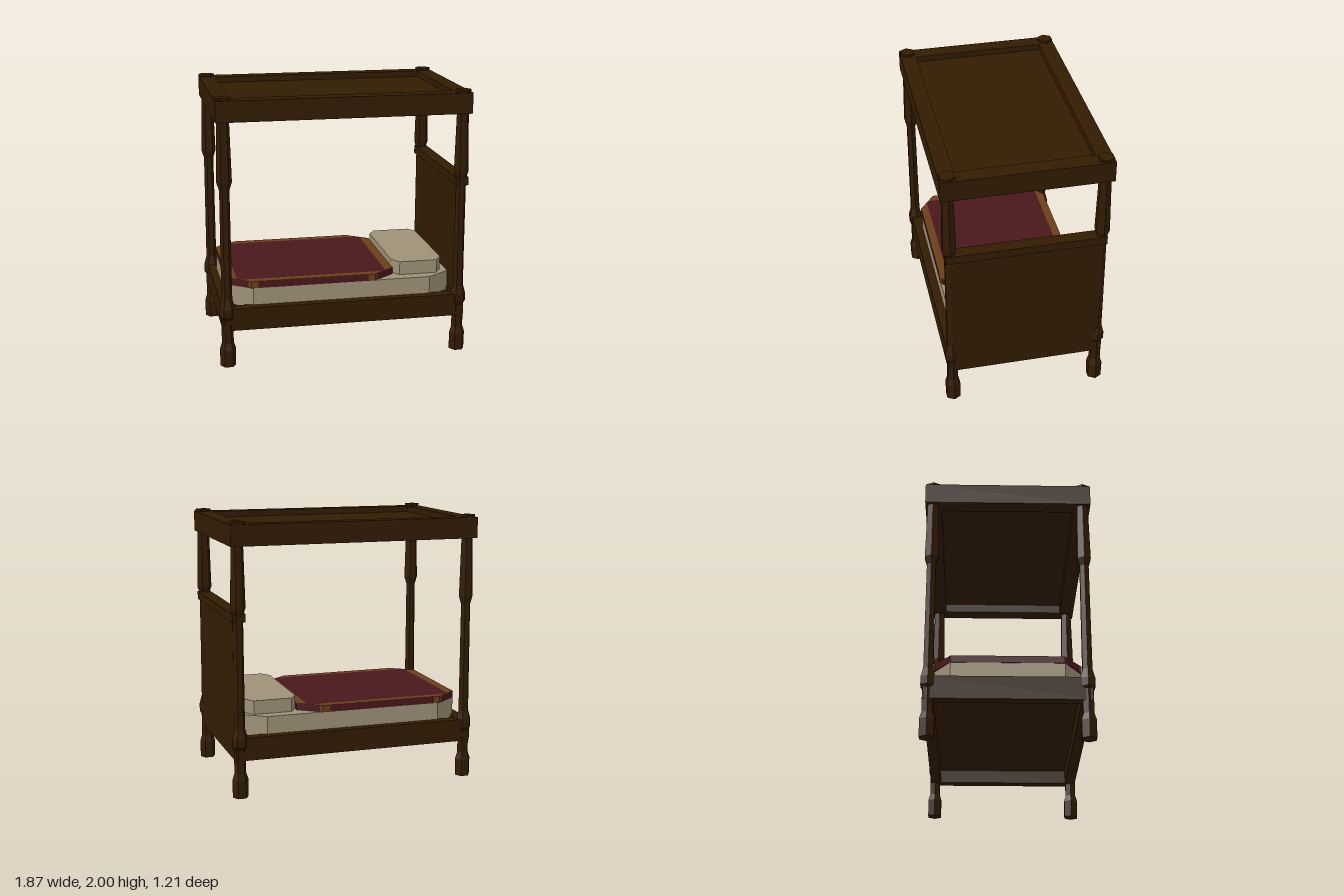
import * as THREE from 'three';

const mat = (name, color) => {
  const m = new THREE.MeshStandardMaterial({ color, flatShading: true });
  m.name = name;
  return m;
};

export function createModel() {
  const wood = mat('dark wood', 0x321b02);
  const linen = mat('linen', 0x9e9177);
  const red = mat('red cloth', 0x49171b);
  const gold = mat('gold trim', 0x6c3e1a);

  const model = new THREE.Group();
  model.name = 'canopyBed';

  const add = (name, geometry, material) => {
    const mesh = new THREE.Mesh(geometry, material);
    mesh.name = name;
    model.add(mesh);
    return mesh;
  };

  // Box given by its limits on each axis
  const box = (name, x0, x1, y0, y1, z0, z1) => {
    const g = new THREE.BoxGeometry(x1 - x0, y1 - y0, z1 - z0);
    g.translate((x0 + x1) / 2, (y0 + y1) / 2, (z0 + z1) / 2);
    return add(name, g, wood);
  };

  // Upright slab from an outline of [x, z] points
  const toShape = (pts) => new THREE.Shape(pts.map(([x, z]) => new THREE.Vector2(x, -z)));
  const toHole = (pts) => new THREE.Path(pts.slice().reverse().map(([x, z]) => new THREE.Vector2(x, -z)));
  const slab = (name, shape, y0, y1, material) => {
    const g = new THREE.ExtrudeGeometry(shape, { depth: y1 - y0, bevelEnabled: false });
    g.rotateX(-Math.PI / 2);
    g.translate(0, y0, 0);
    return add(name, g, material);
  };

  // Rectangle with cut corners
  const octagon = (x0, x1, hz, cx, cz) => [
    [x0 + cx, hz], [x1 - cx, hz], [x1, hz - cz], [x1, cz - hz],
    [x1 - cx, -hz], [x0 + cx, -hz], [x0, cz - hz], [x0, hz - cz],
  ];

  // Rectangular frame
  const rect = (x, z) => [[-x, z], [x, z], [x, -z], [-x, -z]];
  const frame = (name, x, z, ix, iz, y0, y1) => {
    const shape = toShape(rect(x, z));
    shape.holes.push(toHole(rect(ix, iz)));
    slab(name, shape, y0, y1, wood);
  };

  // Four turned six-sided posts
  const profile = [
    [0, 0], [0.058, 0], [0.06, 0.13], [0.044, 0.18], [0.044, 0.36], [0.059, 0.38],
    [0.059, 0.44], [0.04, 0.51], [0.037, 1.33], [0.056, 1.39], [0.045, 1.83],
    [0.05, 1.96], [0.06, 1.99], [0.06, 2], [0, 2],
  ].map(([r, y]) => new THREE.Vector2(r, y));
  for (const sx of [-1, 1]) for (const sz of [-1, 1]) {
    const g = new THREE.LatheGeometry(profile, 6);
    g.rotateY(Math.PI / 2);
    add('post', g, wood).position.set(sx * 0.877, 0, sz * 0.55);
  }

  // Canopy
  frame('canopyFrame', 0.935, 0.607, 0.815, 0.49, 1.828, 1.982);
  box('canopyPanel', -0.82, 0.82, 1.9, 1.938, -0.495, 0.495);

  // Bed frame and base
  frame('bedRails', 0.912, 0.585, 0.832, 0.505, 0.277, 0.445);
  box('bedBase', -0.84, 0.84, 0.38, 0.425, -0.51, 0.51);

  // Headboard
  box('headboard', 0.85, 0.916, 0.277, 1.3, -0.55, 0.55);
  box('headboardCap', 0.83, 0.926, 1.288, 1.35, -0.58, 0.58);

  // Mattress and pillow
  slab('mattress', toShape(octagon(-0.852, 0.837, 0.52, 0.175, 0.12)), 0.42, 0.576, linen);
  slab('pillow', toShape(octagon(0.402, 0.79, 0.432, 0.05, 0.08)), 0.574, 0.678, linen);

  // Blanket with a gold border around the red top
  const outline = octagon(-0.855, 0.405, 0.523, 0.165, 0.125);
  const inner = octagon(-0.787, 0.337, 0.462, 0.03, 0.024);
  slab('blanket', toShape(outline), 0.574, 0.622, red);
  const border = toShape(outline);
  border.holes.push(toHole(inner));
  slab('blanketBorder', border, 0.622, 0.626, gold);
  slab('blanketTop', toShape(inner), 0.622, 0.626, red);

  // Gold patches wrapped round the corners of the long sides
  for (const [x, dir] of [[-0.69, 1], [0.24, -1]]) for (const sz of [-1, 1]) {
    const pts = [
      [x + dir * 0.052, 0.526], [x, 0.526], [x - dir * 0.02, 0.511],
      [x - dir * 0.018, 0.505], [x, 0.519], [x + dir * 0.052, 0.519],
    ].map(([a, b]) => [a, b * sz]);
    slab('blanketCornerTrim', toShape(pts), 0.577, 0.6255, gold);
  }

  return model;
}
